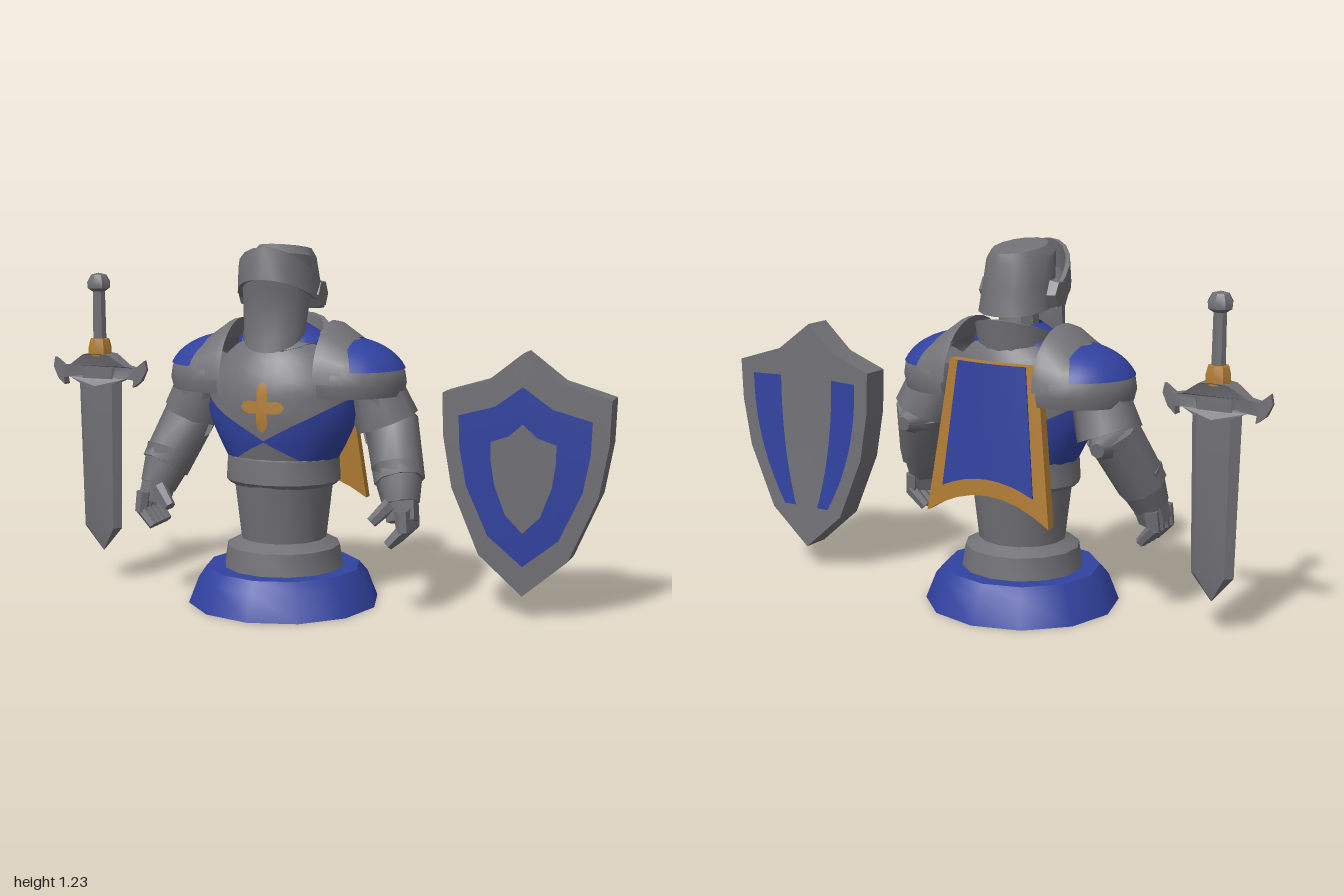
import * as THREE from 'three';
import { toCreasedNormals } from 'three/addons/utils/BufferGeometryUtils.js';

const mat = (name, color) => new THREE.MeshStandardMaterial({ name, color, side: THREE.DoubleSide });
const { sin, cos, PI, abs, max, min, sqrt, hypot } = Math;
const lerp = THREE.MathUtils.lerp;

// Surface from a rule (u, v in 0..1) -> [x, y, z]
function grid(fn, nu, nv) {
  const pos = [], idx = [];
  for (let j = 0; j <= nv; j++) for (let i = 0; i <= nu; i++) pos.push(...fn(i / nu, j / nv));
  for (let j = 0; j < nv; j++) for (let i = 0; i < nu; i++) {
    const a = j * (nu + 1) + i, b = a + nu + 1;
    idx.push(a, a + 1, b, a + 1, b + 1, b);
  }
  const g = new THREE.BufferGeometry();
  g.setAttribute('position', new THREE.Float32BufferAttribute(pos, 3));
  g.setIndex(idx);
  return g;
}

// Elliptical rings: [y, halfWidth, halfDepth, centreZ]
const rings = (rows, n = 16, slope = 0) => grid((u, v) => {
  const [y, w, d, cz] = rows[Math.round(v * (rows.length - 1))];
  const z = cz + d * cos(u * 2 * PI);
  return [w * sin(u * 2 * PI), y + slope * z, z];
}, n, rows.length - 1);

// Move the vertices of a geometry by a rule
function warp(g, fn) {
  const p = g.attributes.position;
  for (let i = 0; i < p.count; i++) p.setXYZ(i, ...fn(p.getX(i), p.getY(i), p.getZ(i)));
  return g;
}

// Torso sections and lookup
const TORSO = [[0.49, 0.185, 0.16, 0], [0.58, 0.235, 0.18, 0], [0.66, 0.265, 0.19, 0], [0.76, 0.26, 0.19, -0.005],
  [0.84, 0.215, 0.168, -0.015], [0.9, 0.15, 0.135, -0.02], [0.93, 0.08, 0.09, -0.02]];
function section(y) {
  let i = 0;
  while (i < TORSO.length - 2 && y > TORSO[i + 1][0]) i++;
  const a = TORSO[i], b = TORSO[i + 1], t = (y - a[0]) / (b[0] - a[0]);
  return a.map((q, k) => lerp(q, b[k], t));
}
function torsoPoint(th, y) {
  const [, w, d, cz] = section(y);
  return [w * sin(th), y, cz + d * cos(th)];
}

export function createModel() {
  const steel = mat('steel', 0x717176), blue = mat('blue', 0x3142a0), gold = mat('gold', 0xb07c33);
  const root = new THREE.Group();
  root.name = 'knightBust';
  const sub = (name, x) => {
    const g = new THREE.Group();
    g.name = name; g.position.x = x;
    root.add(g);
    return g;
  };
  const add = (parent, name, geo, m, crease = 0.6) => {
    const mesh = new THREE.Mesh(toCreasedNormals(geo, crease), m);
    mesh.name = name;
    parent.add(mesh);
    return mesh;
  };
  const limb = (parent, name, a, b, ra, rb, m = steel, n = 8) => {
    const A = new THREE.Vector3(...a), B = new THREE.Vector3(...b), d = B.clone().sub(A);
    const mesh = add(parent, name, new THREE.CylinderGeometry(rb, ra, d.length(), n), m, 0.9);
    mesh.position.copy(A).add(B).multiplyScalar(0.5);
    mesh.quaternion.setFromUnitVectors(new THREE.Vector3(0, 1, 0), d.normalize());
  };
  const lathe = (pts, n) => new THREE.LatheGeometry(pts.map(p => new THREE.Vector2(...p)), n);

  // Pedestal and waist
  const bust = sub('bust', -0.115);
  add(bust, 'base', lathe([[0.33, 0], [0.295, 0.09], [0.265, 0.125], [0.19, 0.125]], 12), blue);
  add(bust, 'baseUnderside', lathe([[0, 0], [0.33, 0]], 12), steel);
  add(bust, 'stem', lathe([[0.207, 0.12], [0.195, 0.2], [0.148, 0.225], [0.172, 0.43]], 14), steel);
  add(bust, 'belt', rings([[0.43, 0.16, 0.15, 0], [0.415, 0.185, 0.165, 0], [0.43, 0.2, 0.178, 0],
    [0.51, 0.196, 0.172, 0], [0.525, 0.17, 0.15, 0]], 18), steel);

  // Torso: steel point above the belt, blue cloth, steel breastplate
  const low = th => max(0.49, 0.575 - 0.11 * abs(sin(th)));
  const edge = th => 0.58 + 0.14 * abs(sin(th));
  const band = (y0, y1, nv) => grid((u, v) => {
    const th = u * 2 * PI;
    return torsoPoint(th, lerp(y0(th), y1(th), v));
  }, 32, nv);
  add(bust, 'waistPlate', band(() => 0.49, low, 2), steel, 0.9);
  add(bust, 'tunic', band(low, edge, 4), blue, 0.9);
  add(bust, 'breastplate', band(edge, () => 0.93, 8), steel, 0.9);
  add(bust, 'chestCross', grid((u, v) => {
    const a = u * 2 * PI, r = v * (0.026 + 0.05 * cos(2 * a) ** 2);
    const x = r * cos(a), y = 0.695 + 1.1 * r * sin(a), [, w, d, cz] = section(y);
    return [x, y, cz + d * sqrt(1 - (x / w) ** 2) + 0.006];
  }, 32, 3), gold);

  // Neck and collar
  add(bust, 'neckCloth', rings([[0.83, 0.19, 0.13, -0.02], [0.91, 0.16, 0.12, -0.02], [0.96, 0.07, 0.08, -0.02]]), blue);
  add(bust, 'neck', rings([[0.93, 0.07, 0.07, -0.03], [1.04, 0.065, 0.06, -0.03]], 10), steel);
  add(bust, 'collar', grid((u, v) => {
    const a = u * 2 * PI, k = [0.14, 0.155, 0.135, 0.12][Math.round(v * 3)];
    const top = 0.93 - 0.055 * cos(a), y = [0.86, top, top, 0.88][Math.round(v * 3)];
    return [k * sin(a) * 0.95, y, -0.02 + k * cos(a)];
  }, 18, 3), steel);

  // Helmet shell, visor band, faceplate and pivots
  add(bust, 'helmet', rings([[1.03, 0.085, 0.09, -0.05], [1.02, 0.122, 0.123, -0.052], [1.1, 0.116, 0.13, -0.03],
    [1.185, 0.106, 0.135, -0.015], [1.215, 0.085, 0.115, -0.025], [1.222, 0, 0, -0.025]], 14, 0.14), steel);
  add(bust, 'visorBand', grid((u, v) => {
    const a = (u - 0.5) * 3.5, c = cos(a), s = [1, 1, 0.9, 0.9, 1][Math.round(v * 4)];
    const t = [0, 1, 1, 0, 0][Math.round(v * 4)];
    return [0.143 * s * sin(a), lerp(1.03 + 0.085 * c, 1.1 + 0.12 * c, t), 0.01 + (0.18 - 0.02 * t) * s * c];
  }, 12, 4), steel, 0.5);
  add(bust, 'faceplate', grid((u, v) => {
    const a = (u - 0.5) * PI, c = cos(a);
    const z = 0.045 + (0.125 - 0.015 * sin(v * PI)) * c + 0.03 * v * (1 - c);
    return [(0.118 - 0.012 * v) * sin(a), lerp(1.06 + 0.07 * c, 0.93 - 0.058 * c, v), z];
  }, 10, 5), steel);
  for (const s of [-1, 1])
    limb(bust, 'visorPivot', [s * 0.1, 1.06, 0], [s * 0.145, 1.06, 0], 0.055, 0.045, steel, 6);

  // Shoulders and arms
  for (const s of [-1, 1]) {
    const side = s > 0 ? 'left' : 'right';
    const dome = (a0, a1, e0, e1, k) => grid((u, v) => {
      const a = lerp(a0, a1, u), e = lerp(e0, e1, v);
      return [s * (0.2 + 0.22 * k * cos(e) * sin(a)), 0.77 + 0.145 * k * sin(e), -0.035 + 0.195 * k * cos(e) * cos(a)];
    }, 14, 7);
    add(bust, side + 'Pauldron', dome(-0.1, PI + 0.1, -0.3, PI / 2, 1), steel, 0.9);
    add(bust, side + 'PauldronPanel', dome(0.42, PI - 0.42, 0.3, 1.25, 1.025), blue, 0.9);
    add(bust, side + 'PauldronFlange', grid((u, v) => {
      const a = u * PI, k = Math.round(v * 3);
      const x = [0.26, 0.19, 0.165, 0.2][k], r = [0.14, 0.19, 0.195, 0.12][k];
      return [s * x, 0.775 + r * sin(a), -0.035 + (0.15 + 0.25 * r) * cos(a)];
    }, 14, 3), steel);
    limb(bust, side + 'UpperArm', [s * 0.28, 0.83, -0.04], [s * 0.345, 0.66, -0.05], 0.1, 0.095);
    limb(bust, side + 'ArmLame', [s * 0.31, 0.75, -0.045], [s * 0.355, 0.63, -0.055], 0.095, 0.11);
    limb(bust, side + 'ElbowGuard', [s * 0.36, 0.62, -0.03], [s * 0.37, 0.6, -0.17], 0.095, 0.025);
    limb(bust, side + 'Forearm', [s * 0.365, 0.64, -0.06], [s * 0.43, 0.45, 0.04], 0.092, 0.085);
    limb(bust, side + 'Cuff', [s * 0.415, 0.5, 0.02], [s * 0.445, 0.38, 0.07], 0.088, 0.062);
    limb(bust, side + 'Palm', [s * 0.44, 0.41, 0.06], [s * 0.455, 0.325, 0.085], 0.06, 0.055, steel, 6);
    for (let i = 0; i < 4; i++) {
      const z = 0.03 + i * 0.035;
      limb(bust, side + 'Knuckle', [s * 0.468, 0.37, z], [s * 0.475, 0.3, z + 0.005], 0.025, 0.023, steel, 6);
      limb(bust, side + 'Finger', [s * 0.48, 0.315, z], [s * 0.425, 0.255, z + 0.01], 0.023, 0.018, steel, 6);
    }
    limb(bust, side + 'Thumb', [s * 0.42, 0.385, 0.11], [s * 0.365, 0.325, 0.14], 0.026, 0.019, steel, 6);
  }

  // Cape: gold slab with a blue panel on its back
  const drape = (u, y, z) => {
    const v = 0.5 - y;
    return [u * lerp(0.165, 0.232, v), lerp(0.85, 0.335 + 0.08 * (1 - u * u), v), -0.195 - 0.02 * v + z + 0.02 * u * u * (1 - v)];
  };
  add(bust, 'cape', warp(new THREE.BoxGeometry(2, 1, 0.035, 8, 6, 1), drape), gold);
  add(bust, 'capePanel', warp(new THREE.BoxGeometry(1.54, 0.87, 0.006, 8, 6, 1),
    (u, y, z) => drape(u, y + 0.062, z - 0.019)), blue);

  // Shield: nested outlines on a bowed face
  const shield = sub('shield', 0.72);
  const half = [[0, 0.89], [0.12, 0.795], [0.28, 0.745], [0.275, 0.6], [0.245, 0.43], [0.15, 0.21], [0, 0.08]];
  const outline = [...half, ...half.slice(0, -1).reverse().map(([x, y]) => [-x, y])];
  const bow = (x, y) => 0.02 - 0.04 * min(1, hypot(x / 0.28, max(0, 0.75 - y) / 0.67));
  const face = (k0, k1, dz) => grid((u, v) => {
    const [x, y] = outline[Math.round(u * 12)];
    const X = x * lerp(k0[0], k1[0], v), Y = 0.47 + (y - 0.47) * lerp(k0[1], k1[1], v);
    return [X, Y, bow(X, Y) + dz];
  }, 12, 2);
  const R = [[1, 1], [0.79, 0.74], [0.39, 0.45], [0, 0]];
  add(shield, 'shieldRim', face(R[0], R[1], 0), steel);
  add(shield, 'shieldBand', face(R[1], R[2], 0), blue);
  add(shield, 'shieldCentre', face(R[2], R[3], 0), steel);
  add(shield, 'shieldBack', face(R[0], R[3], -0.1), steel);
  add(shield, 'shieldEdge', grid((u, v) => {
    const [x, y] = outline[Math.round(u * 12)];
    return [x, y, bow(x, y) - 0.1 * v];
  }, 12, 1), steel);
  for (const s of [-1, 1])
    add(shield, 'backStripe', grid((u, v) => {
      const y = lerp(0.7, 0.23, v), w = 0.28 - 0.16 * v ** 2.2;
      const x = s * w * lerp(0.4, 0.8, u);
      return [x, y, bow(x, y) - 0.107];
    }, 3, 10), blue);

  // Sword, point down
  const sword = sub('sword', -0.815);
  const hex = [[1, 0], [0.68, 1], [-0.68, 1], [-1, 0], [-0.68, -1], [0.68, -1], [1, 0]];
  const blade = [[0.78, 0.085, 0.026], [0.2, 0.074, 0.022], [0.115, 0.002, 0.002]];
  add(sword, 'blade', grid((u, v) => {
    const [x, z] = hex[Math.round(u * 6)], [y, w, t] = blade[Math.round(v * 2)];
    return [x * w, y, z * t];
  }, 6, 2), steel, 0.3);
  const wing = [[0, 0.83], [0.05, 0.825], [0.11, 0.785], [0.145, 0.78], [0.178, 0.808], [0.185, 0.775],
    [0.165, 0.735], [0.135, 0.712], [0.138, 0.738], [0.11, 0.742], [0.06, 0.72], [0, 0.715]];
  const guard = new THREE.Shape([...wing, ...wing.slice(1, -1).reverse().map(([x, y]) => [-x, y])]
    .map(p => new THREE.Vector2(...p)));
  add(sword, 'guard', warp(new THREE.ExtrudeGeometry(guard, { depth: 1, bevelEnabled: false }),
    (x, y, z) => [x, y, (z - 0.5) * 0.095 * (1 - 0.85 * abs(x) / 0.185)]), steel);
  add(sword, 'gripCollar', lathe([[0, 0.81], [0.042, 0.82], [0.042, 0.85], [0.034, 0.88], [0, 0.885]], 8), gold);
  add(sword, 'grip', lathe([[0.024, 0.87], [0.022, 1.07]], 8), steel);
  add(sword, 'pommel', lathe([[0.02, 1.045], [0.04, 1.058], [0.042, 1.08], [0.028, 1.105], [0, 1.112]], 8), steel);
  return root;
}
